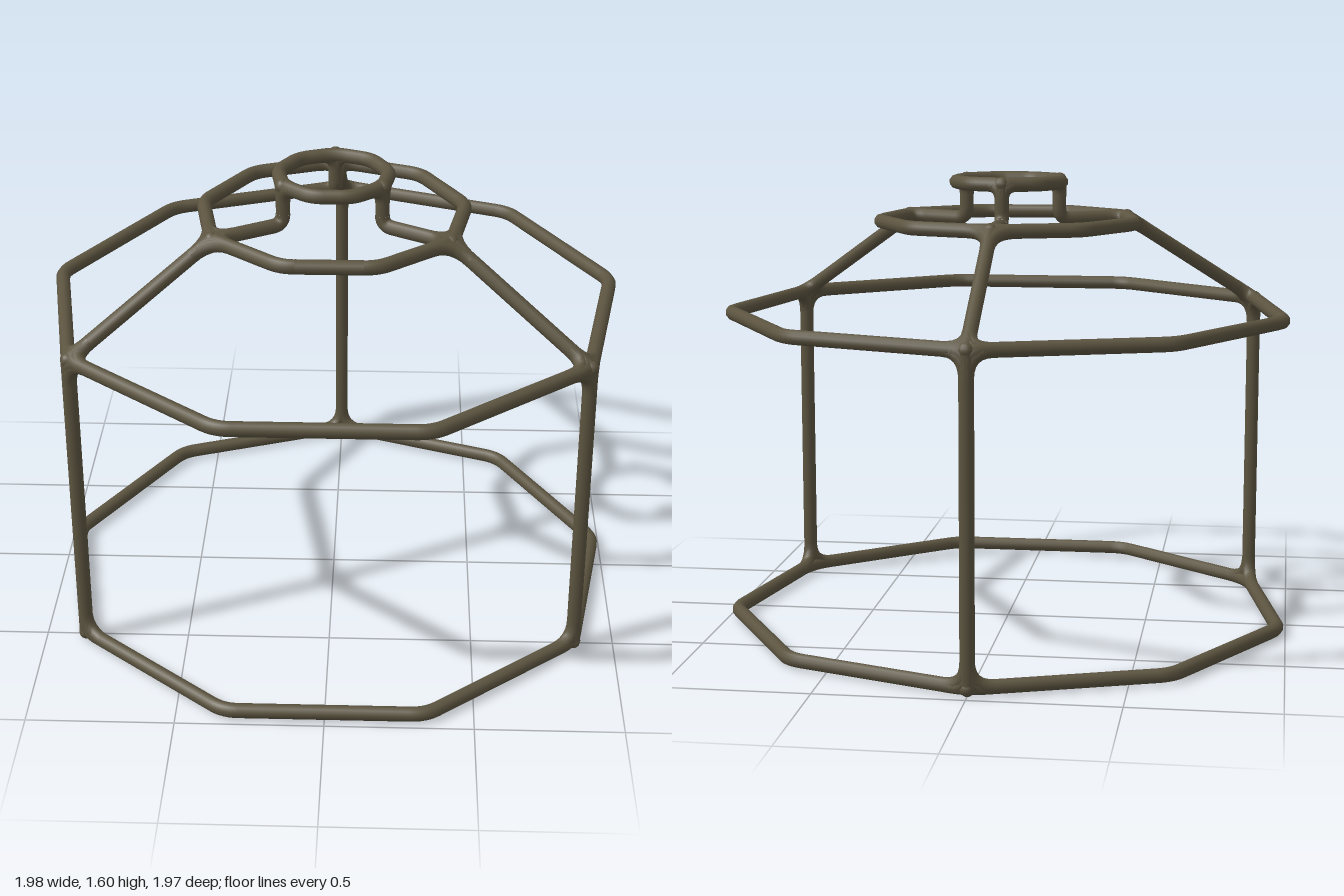
import * as THREE from 'three';
import { mergeGeometries } from 'three/addons/utils/BufferGeometryUtils.js';

const TUBE = 0.025, SIDES = 10, CORNERS = 9, CENTRE_Z = 0.03;

// Corner k of a nine-sided ring; corner 0 points to the back
function corner(ring, k) {
  const a = (k / CORNERS) * Math.PI * 2;
  return new THREE.Vector3(Math.sin(a) * ring.radius, ring.y, CENTRE_Z - Math.cos(a) * ring.radius);
}

// Straight tube between two points, shortened by trim at both ends
function rod(a, b, trim = 0) {
  const dir = b.clone().sub(a).normalize();
  const start = a.clone().addScaledVector(dir, trim);
  const end = b.clone().addScaledVector(dir, -trim);
  return new THREE.TubeGeometry(new THREE.LineCurve3(start, end), 1, TUBE, SIDES);
}

// Rounded bend at p, from the direction of a to the direction of b
function bend(p, a, b, reach) {
  const toward = (q) => p.clone().addScaledVector(q.clone().sub(p).normalize(), reach);
  const curve = new THREE.QuadraticBezierCurve3(toward(a), p, toward(b));
  return new THREE.TubeGeometry(curve, 6, TUBE, SIDES);
}

// Filleted weld where several rods meet at p
function weld(p, ends, reach) {
  const parts = [new THREE.SphereGeometry(0.027, 12, 8).translate(p.x, p.y, p.z)];
  ends.forEach((a, i) => ends.slice(i + 1).forEach((b) => {
    parts.push(bend(p, a, b, reach), bend(p, a, b, reach * 0.6));
  }));
  return parts;
}

export function createModel() {
  const group = new THREE.Group();
  const metal = new THREE.MeshStandardMaterial({ color: 0x5c5440 });
  metal.name = 'dark olive metal';

  const add = (name, parts) => {
    const mesh = new THREE.Mesh(mergeGeometries(parts), metal);
    mesh.name = name;
    group.add(mesh);
  };

  const base = { name: 'baseRing', y: 0.027, radius: 0.99, round: 0.05, weld: 0.09 };
  const shoulder = { name: 'shoulderRing', y: 1.112, radius: 0.99, round: 0.05, weld: 0.09 };
  const neck = { name: 'neckRing', y: 1.433, radius: 0.46, round: 0.045, weld: 0.09 };
  const rim = { name: 'rimRing', y: 1.571, radius: 0.193, round: 0.04, weld: 0.055 };

  // Four nine-sided rings with softened corners
  for (const ring of [base, shoulder, neck, rim]) {
    const parts = [];
    for (let k = 0; k < CORNERS; k++) {
      const p = corner(ring, k), next = corner(ring, k + 1);
      parts.push(rod(p, next, ring.round), bend(p, corner(ring, k - 1), next, ring.round));
    }
    add(ring.name, parts);
  }

  // Three ribs climb from the base to the rim
  for (const k of [0, 3, 6]) {
    const low = corner(base, k), mid = corner(shoulder, k), high = corner(neck, k), top = corner(rim, k);
    const elbow = top.clone().setY(neck.y);
    const sides = (ring) => [corner(ring, k - 1), corner(ring, k + 1)];

    add('post', [rod(low, mid)]);
    add('roofStrut', [rod(mid, high)]);
    const reach = 0.04;
    const inner = elbow.clone().add(high.clone().sub(elbow).setLength(reach));
    const upper = elbow.clone().setY(elbow.y + reach);
    add('neckBracket', [rod(high, inner), bend(elbow, high, top, reach), rod(upper, top)]);

    add('joints', [
      ...weld(low, [...sides(base), mid], base.weld),
      ...weld(mid, [...sides(shoulder), low, high], shoulder.weld),
      ...weld(high, [...sides(neck), mid, elbow], neck.weld),
      ...weld(top, [...sides(rim), elbow], rim.weld),
    ]);
  }
  return group;
}
